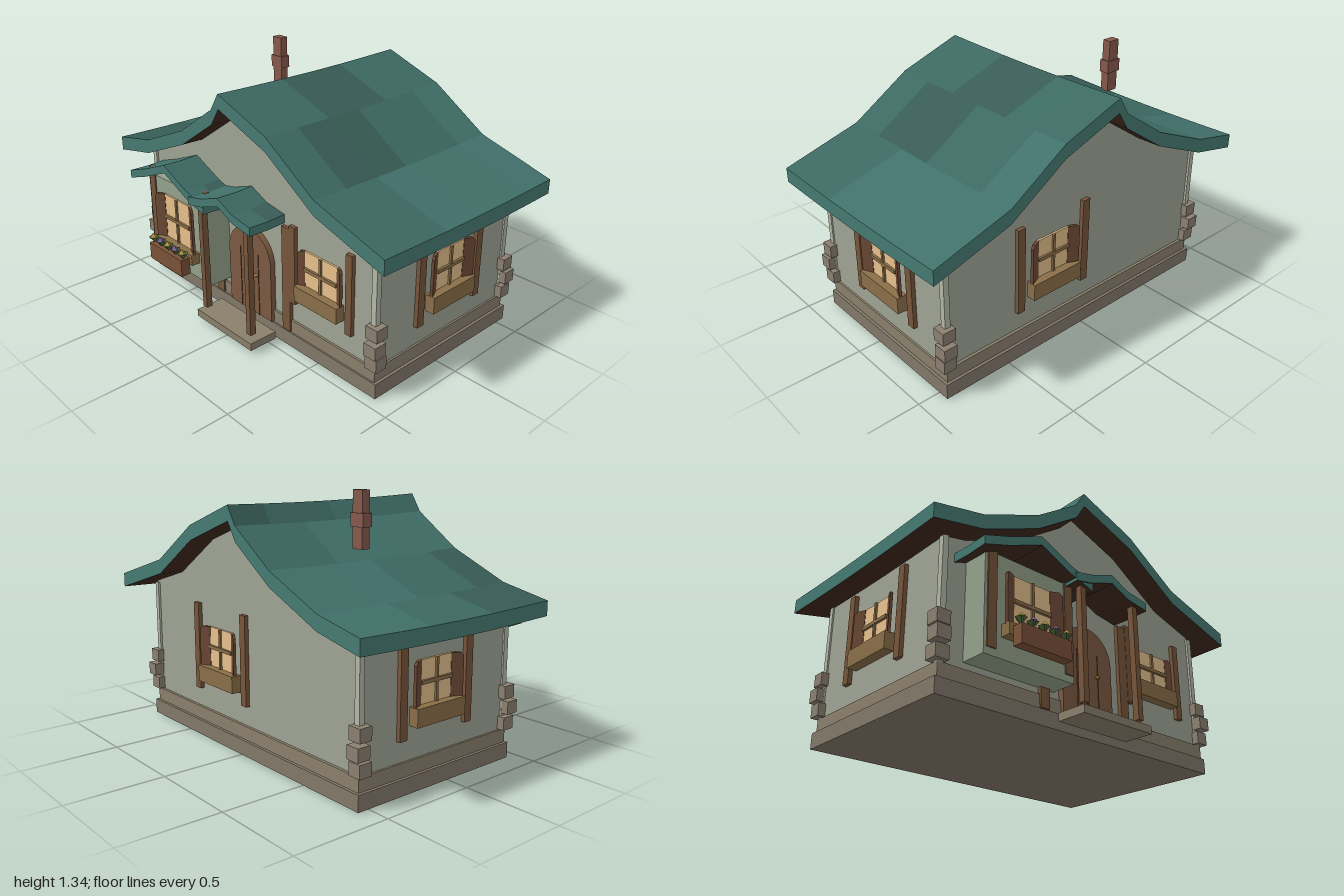
import * as THREE from 'three';

const mat = (color, extra = {}) => {
  const m = new THREE.MeshStandardMaterial({ color, flatShading: true, ...extra });
  return m;
};
const M = {
  wall: mat(0x9fa494), bay: mat(0x94a18b), post: mat(0xb4b8a6),
  stone: mat(0x83786a), step: mat(0x8a7f6c), quoin: mat(0x8b7f70),
  timber: mat(0x77553b), door: mat(0x7c5a41), groove: mat(0x54392a), brass: mat(0xa8873f),
  glow: mat(0xe6c08c), sill: mat(0x8a6f48), box: mat(0x7b5238), shutter: mat(0x6b4835), brick: mat(0x87594c),
  tintA: mat(0x41706a), tintB: mat(0x3d6963), tintC: mat(0x385c56), fascia: mat(0x467a72), soffit: mat(0x40291f),
  leaf: mat(0x4d6b3c), petalA: mat(0x7d6596), petalB: mat(0xb49a4c),
};

function add(parent, name, geometry, material) {
  const mesh = new THREE.Mesh(geometry, material);
  mesh.name = name;
  parent.add(mesh);
  return mesh;
}

// Box given by its min and max on each axis
function box(parent, name, material, x0, x1, y0, y1, z0, z1) {
  const mesh = add(parent, name, new THREE.BoxGeometry(x1 - x0, y1 - y0, z1 - z0), material);
  mesh.position.set((x0 + x1) / 2, (y0 + y1) / 2, (z0 + z1) / 2);
  return mesh;
}

function extrude(points, depth) {
  const shape = new THREE.Shape(points.map(([x, y]) => new THREE.Vector2(x, y)));
  return new THREE.ExtrudeGeometry(shape, { depth, bevelEnabled: false });
}

// Sagging roof slab: profile swept along z, its top split into tinted patches
function roof(parent, name, profile, thick, z0, z1, rows, sag) {
  const g = new THREE.Group();
  g.name = name;
  parent.add(g);
  const faces = { tintA: [], tintB: [], tintC: [], fascia: [], soffit: [] };
  const quad = (k, a, b, c, d) => faces[k].push(...a, ...b, ...c, ...a, ...c, ...d);
  const P = (i, j, low) => {
    const t = j / rows;
    return [profile[i][0], profile[i][1] - sag * Math.sin(Math.PI * t) - (low ? thick : 0), z0 + (z1 - z0) * t];
  };
  const n = profile.length - 1;
  const tints = ['tintA', 'tintB', 'tintB', 'tintA', 'tintC'];
  for (let j = 0; j < rows; j++) {
    for (let i = 0; i < n; i++) {
      const tint = tints[(i * 3 + Math.floor((j + i % 2) / 2) * 2) % 5];
      quad(tint, P(i, j + 1), P(i + 1, j + 1), P(i + 1, j), P(i, j));
      quad('soffit', P(i, j, 1), P(i + 1, j, 1), P(i + 1, j + 1, 1), P(i, j + 1, 1));
    }
    quad('fascia', P(0, j, 1), P(0, j + 1, 1), P(0, j + 1), P(0, j));
    quad('fascia', P(n, j + 1, 1), P(n, j, 1), P(n, j), P(n, j + 1));
  }
  for (let i = 0; i < n; i++) {
    quad('fascia', P(i, rows, 1), P(i + 1, rows, 1), P(i + 1, rows), P(i, rows));
    quad('fascia', P(i + 1, 0, 1), P(i, 0, 1), P(i, 0), P(i + 1, 0));
  }
  for (const k in faces) {
    if (!faces[k].length) continue;
    const geo = new THREE.BufferGeometry();
    geo.setAttribute('position', new THREE.Float32BufferAttribute(faces[k], 3));
    geo.computeVertexNormals();
    add(g, name + (k === 'soffit' ? 'Underside' : k === 'fascia' ? 'Edge' : 'Shingles'), geo, M[k]);
  }
}

// Window facing local +z: lit pane, glazing bars, splayed shutters, sill
function makeWindow(parent, name, o) {
  const g = new THREE.Group();
  g.name = name;
  parent.add(g);
  const { pane, half, sillY, y0, y1 } = o;
  const mid = (y0 + y1) / 2;
  box(g, 'pane', M.glow, -pane, pane, y0, y1, -0.01, 0.008);
  box(g, 'verticalBar', M.sill, -0.007, 0.007, y0, y1, 0, 0.018);
  box(g, 'crossBar', M.sill, -pane, pane, mid - 0.009, mid + 0.009, 0, 0.02);
  box(g, 'sill', M.sill, -half, half, sillY, y0, -0.01, 0.05);
  const w = half - pane, h = y1 - y0 + 0.005, c = 0.015;
  for (const s of [-1, 1]) {
    const hinge = new THREE.Group();
    hinge.position.set(s * pane, y0 - 0.005, 0.004);
    hinge.rotation.y = s > 0 ? -0.42 : Math.PI + 0.42;
    g.add(hinge);
    const len = w / Math.cos(0.42);
    const shutter = add(hinge, 'shutter', extrude([[0, 0], [len, 0], [len, h - c], [len - c, h], [0, h]], 0.014), M.shutter);
    shutter.position.z = -0.007;
  }
  // Timbers either side
  if (o.timber) {
    const [a, b, t0, t1] = o.timber;
    box(g, 'timber', M.timber, a, b, t0, t1, -0.01, 0.02);
    box(g, 'timber', M.timber, -b, -a, t0, t1, -0.01, 0.02);
  }
  return g;
}

export function createModel() {
  const root = new THREE.Group();
  root.name = 'cottage';

  const mainProfile = [[-1, 0.805], [-0.73, 0.86], [-0.4, 1.0], [-0.14, 1.175], [-0.08, 1.268], [0.26, 1.147], [0.58, 0.94], [1, 0.815]];

  // Plinth and gabled walls
  box(root, 'foundation', M.stone, -0.88, 0.88, 0, 0.08, -0.56, 0.44);
  box(root, 'plinth', M.step, -0.865, 0.865, 0.08, 0.15, -0.545, 0.432);
  const inner = mainProfile.slice(1, -1).map(([x, y]) => [x, y - 0.055]).reverse();
  const walls = add(root, 'walls', extrude([[-0.855, 0.08], [0.855, 0.08], [0.855, 0.8], ...inner, [-0.855, 0.78]], 0.95), M.wall);
  walls.position.z = -0.53;

  // Corner posts and stacked corner stones
  for (const sx of [-1, 1]) for (const back of [false, true]) {
    const z = back ? -0.53 : 0.42, out = back ? -1 : 1;
    const post = box(root, 'cornerPost', M.post, -0.015, 0.015, 0.08, 0.77, -0.015, 0.015);
    post.position.x = sx * 0.848;
    post.position.z = z - out * 0.003;
    for (let i = 0; i < 3; i++) {
      const shift = i === 1 ? 0.012 : 0;
      const stone = add(root, 'cornerStone', new THREE.BoxGeometry(0.072, 0.066, 0.07), M.quoin);
      stone.position.set(sx * (0.858 + shift * 0.6), 0.188 + i * 0.08, z + out * (0.001 + shift * 1.4));
    }
  }

  // Main roof and floating chimney
  roof(root, 'mainRoof', mainProfile, 0.076, -0.665, 0.545, 6, 0.01);
  box(root, 'chimney', M.brick, -0.535, -0.47, 1.068, 1.34, -0.238, -0.192);
  box(root, 'chimneyBand', M.brick, -0.545, -0.46, 1.17, 1.235, -0.243, -0.187);

  // Bay with corner timbers and its own roof
  box(root, 'bay', M.bay, -0.725, -0.2, 0.185, 0.68, 0.41, 0.555);
  box(root, 'bayTimber', M.timber, -0.71, -0.66, 0.22, 0.722, 0.535, 0.562);
  box(root, 'bayTimber', M.timber, -0.255, -0.205, 0.22, 0.72, 0.535, 0.562);
  roof(root, 'bayRoof', [[-0.79, 0.69], [-0.65, 0.738], [-0.457, 0.818], [-0.27, 0.735], [-0.13, 0.695]], 0.045, 0.41, 0.63, 2, 0.004);

  // Porch: roof, posts, step and wall timbers
  roof(root, 'porchRoof', [[-0.245, 0.712], [-0.14, 0.735], [0, 0.785], [0.11, 0.735], [0.243, 0.715]], 0.045, 0.41, 0.636, 2, 0.004);
  box(root, 'step', M.step, -0.222, 0.222, 0.025, 0.065, 0.475, 0.636);
  for (const s of [-1, 1]) {
    box(root, 'porchPost', M.timber, s * 0.18 - 0.016, s * 0.18 + 0.016, 0.09, 0.7, 0.58, 0.614);
    box(root, 'doorTimber', M.timber, s * 0.268 - 0.028, s * 0.268 + 0.028, 0.085, 0.66, 0.41, 0.44);
  }

  // Arched plank door
  const arch = new THREE.Shape();
  arch.moveTo(-0.165, 0.085);
  arch.lineTo(0.165, 0.085);
  arch.lineTo(0.165, 0.4);
  arch.absarc(0, 0.4, 0.165, 0, Math.PI);
  const door = add(root, 'door', new THREE.ExtrudeGeometry(arch, { depth: 0.045, bevelEnabled: false, curveSegments: 14 }), M.door);
  door.position.z = 0.405;
  for (const x of [-0.07, 0, 0.07]) box(root, 'doorGroove', M.groove, x - 0.002, x + 0.002, 0.085, 0.435, 0.44, 0.453);
  add(root, 'doorKnob', new THREE.IcosahedronGeometry(0.011, 1), M.brass).position.set(0.06, 0.318, 0.46);

  // Windows on all four sides
  const large = { pane: 0.1, half: 0.157, sillY: 0.312, y0: 0.4, y1: 0.608, timber: [0.19, 0.235, 0.255, 0.72] };
  for (const s of [-1, 1]) {
    const side = makeWindow(root, s > 0 ? 'leftWindow' : 'rightWindow', large);
    side.position.set(s * 0.857, 0, -0.078);
    side.rotation.y = s * Math.PI / 2;
  }
  const back = makeWindow(root, 'backWindow', large);
  back.position.set(0.2, 0, -0.532);
  back.rotation.y = Math.PI;
  makeWindow(root, 'frontWindow', { pane: 0.11, half: 0.145, sillY: 0.31, y0: 0.392, y1: 0.578, timber: [0.172, 0.212, 0.26, 0.68] })
    .position.set(0.507, 0, 0.422);
  makeWindow(root, 'bayWindow', { pane: 0.11, half: 0.168, sillY: 0.285, y0: 0.345, y1: 0.598 })
    .position.set(-0.46, 0, 0.556);

  // Flower box with leaves and blooms
  box(root, 'flowerBox', M.box, -0.605, -0.312, 0.232, 0.327, 0.605, 0.66);
  for (let i = 0; i < 5; i++) {
    const x = -0.59 + i * 0.066;
    const leaf = add(root, 'leaves', new THREE.ConeGeometry(0.03, 0.035, 5), M.leaf);
    leaf.rotation.x = Math.PI;
    leaf.position.set(x, 0.342, 0.637);
    add(root, 'bloom', new THREE.OctahedronGeometry(0.024), i % 2 ? M.petalA : M.petalB).position.set(x, 0.36, 0.643);
  }
  return root;
}
